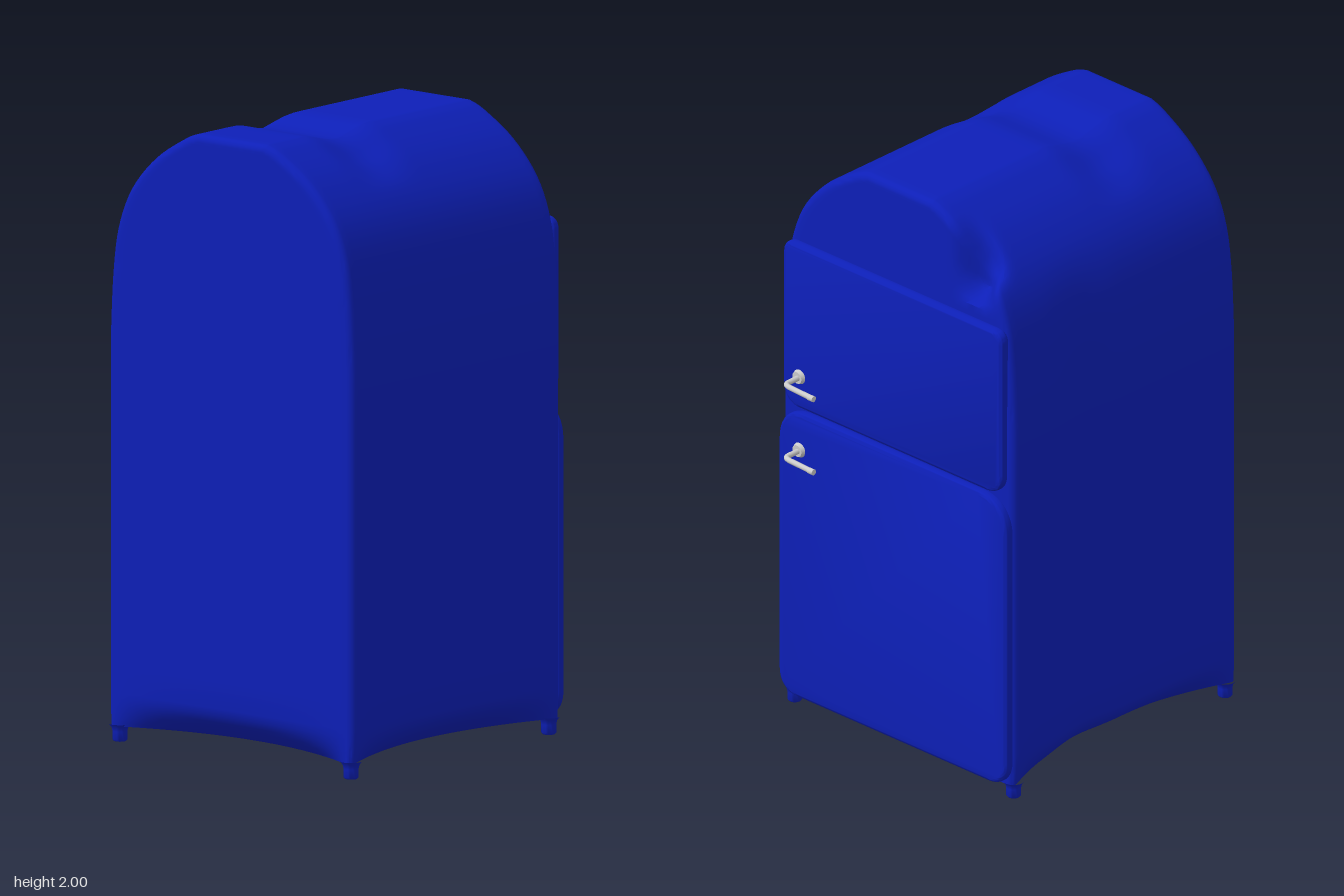
import * as THREE from 'three';
import { mergeVertices, toCreasedNormals } from 'three/addons/utils/BufferGeometryUtils.js';

const X0 = -0.57, X1 = 0.45, EDGE = 0.025;
const blue = new THREE.MeshStandardMaterial({ color: 0x0d1fb8 });
const grey = new THREE.MeshStandardMaterial({ color: 0xcccccc });

const bump = (d) => (Math.abs(d) < 1 ? (1 + Math.cos(Math.PI * d)) / 2 : 0);
const clamp = THREE.MathUtils.clamp;

function add(parent, name, geometry, material) {
  const mesh = new THREE.Mesh(geometry, material);
  mesh.name = name;
  parent.add(mesh);
  return mesh;
}

// Half outline of the cabinet as (half depth, height)
function halfOutline() {
  const wall = [0.05, 0.06, 0.075, 0.09, 0.11, 0.135, 0.16, 0.25, 0.45, 0.7, 0.95, 1.15]
    .map((y) => new THREE.Vector2(0.508, y));
  const arch = new THREE.SplineCurve([
    [0.508, 1.3], [0.498, 1.5], [0.475, 1.66], [0.42, 1.79], [0.32, 1.9], [0.2, 1.977], [0.14, 2],
  ].map(([z, y]) => new THREE.Vector2(z, y))).getPoints(30);
  return wall.concat(arch);
}

// Arched cabinet: a fine box whose vertices follow the outline, with rounded ends and dents
function cabinetGeometry() {
  const outline = halfOutline();
  const ends = [0, 0.002, 0.008, 0.016, EDGE];
  const xs = ends.map((e) => X0 + e);
  for (let i = 1; i < 40; i++) xs.push(X0 + EDGE + (X1 - X0 - 2 * EDGE) * i / 40);
  xs.push(...ends.map((e) => X1 - e).reverse());
  const nx = xs.length - 1, ny = outline.length - 1;
  let geo = new THREE.BoxGeometry(2, 2, 2, nx, ny, 32);
  const p = geo.attributes.position;
  for (let i = 0; i < p.count; i++) {
    let x = xs[Math.round((p.getX(i) + 1) / 2 * nx)];
    const o = outline[Math.round((p.getY(i) + 1) / 2 * ny)];
    const s = p.getZ(i);
    let y = o.y, z = s * o.x;

    // rounded end edges
    const e = Math.max(0, EDGE - Math.min(x - X0, X1 - x));
    const inset = EDGE - Math.sqrt(Math.max(0, EDGE * EDGE - e * e));
    z *= 1 - inset / 0.508;
    if (y > 1.3) y -= inset * (y - 1.3) / 0.7;

    // lower walls sweep inward between the feet, except behind the door
    const w = clamp((0.16 - y) / 0.11, 0, 1) ** 2;
    const sx = (2 * x - X0 - X1) / (X1 - X0);
    z *= 1 - 0.22 * w * (1 - sx * sx);
    x += 0.11 * w * (1 - s * s) * (1 - sx) / 2;

    // shallow dents in the roof and back wall
    y -= 0.03 * bump((x + 0.22) / 0.17) * clamp((y - 1.85) / 0.1, 0, 1);
    if (z < 0) z += 0.015 * bump((x - 0.11) / 0.17) * clamp((1.8 - y) / 0.4, 0, 1) * (-s);

    // crushed corner above the upper door
    const c = bump((x - X1) / 0.12) * bump((z + 0.34) / 0.11) * clamp((y - 1.7) / 0.12, 0, 1);
    x -= 0.065 * c;
    y -= 0.07 * c;
    p.setXYZ(i, x, y, z);
  }
  geo.deleteAttribute('normal');
  geo.deleteAttribute('uv');
  geo = mergeVertices(geo, 1e-5);
  return toCreasedNormals(geo, 0.8);
}

// Softly bevelled door panel facing +x
function doorGeometry(half, y0, y1, rBottom, rTop) {
  const b = 0.014, h = half - b, lo = y0 + b, hi = y1 - b;
  const s = new THREE.Shape();
  s.moveTo(-h + rBottom, lo);
  s.lineTo(h - rBottom, lo);
  s.quadraticCurveTo(h, lo, h, lo + rBottom);
  s.lineTo(h, hi - rTop);
  s.quadraticCurveTo(h, hi, h - rTop, hi);
  s.lineTo(-h + rTop, hi);
  s.quadraticCurveTo(-h, hi, -h, hi - rTop);
  s.lineTo(-h, lo + rBottom);
  s.quadraticCurveTo(-h, lo, -h + rBottom, lo);
  const geo = new THREE.ExtrudeGeometry(s, {
    depth: 0.012, bevelSize: b, bevelThickness: b, bevelSegments: 5, curveSegments: 10,
  });
  geo.rotateY(Math.PI / 2);
  geo.translate(0.452, 0, 0);
  return toCreasedNormals(geo, 0.8);
}

// Bent lever handle with a round base and end cap
function makeHandle(name, y) {
  const g = new THREE.Group();
  g.name = name;
  const base = add(g, 'handleBase', new THREE.CylinderGeometry(0.02, 0.026, 0.014, 24), grey);
  base.rotation.z = -Math.PI / 2;
  base.position.set(0.483, 0, 0.405);
  const v = (x, z) => new THREE.Vector3(x, 0, z);
  const path = new THREE.CurvePath();
  path.add(new THREE.LineCurve3(v(0.475, 0.402), v(0.53, 0.402)));
  path.add(new THREE.QuadraticBezierCurve3(v(0.53, 0.402), v(0.551, 0.402), v(0.553, 0.375)));
  path.add(new THREE.LineCurve3(v(0.553, 0.375), v(0.558, 0.285)));
  add(g, 'handleLever', new THREE.TubeGeometry(path, 40, 0.009, 12), grey);
  const cap = add(g, 'handleEnd', new THREE.CylinderGeometry(0.01, 0.01, 0.022, 16), grey);
  cap.rotation.x = Math.PI / 2;
  cap.position.set(0.559, 0, 0.275);
  g.position.y = y;
  return g;
}

export function createModel() {
  const model = new THREE.Group();
  model.name = 'refrigerator';
  add(model, 'cabinet', cabinetGeometry(), blue);
  add(model, 'upperDoor', doorGeometry(0.48, 1.08, 1.66, 0.06, 0.03), blue);
  add(model, 'lowerDoor', doorGeometry(0.5, 0.05, 1.065, 0.07, 0.11), blue);
  model.add(makeHandle('upperHandle', 1.195), makeHandle('lowerHandle', 0.935));

  // Flared feet at the four corners
  const footProfile = [[0, 0], [0.02, 0], [0.024, 0.005], [0.024, 0.032], [0.027, 0.045], [0.036, 0.056]]
    .map(([r, y]) => new THREE.Vector2(r, y));
  const footGeo = toCreasedNormals(new THREE.LatheGeometry(footProfile, 20), 0.8);
  for (const x of [-0.543, 0.421]) {
    for (const z of [-0.48, 0.48]) add(model, 'foot', footGeo, blue).position.set(x, 0, z);
  }
  return model;
}
